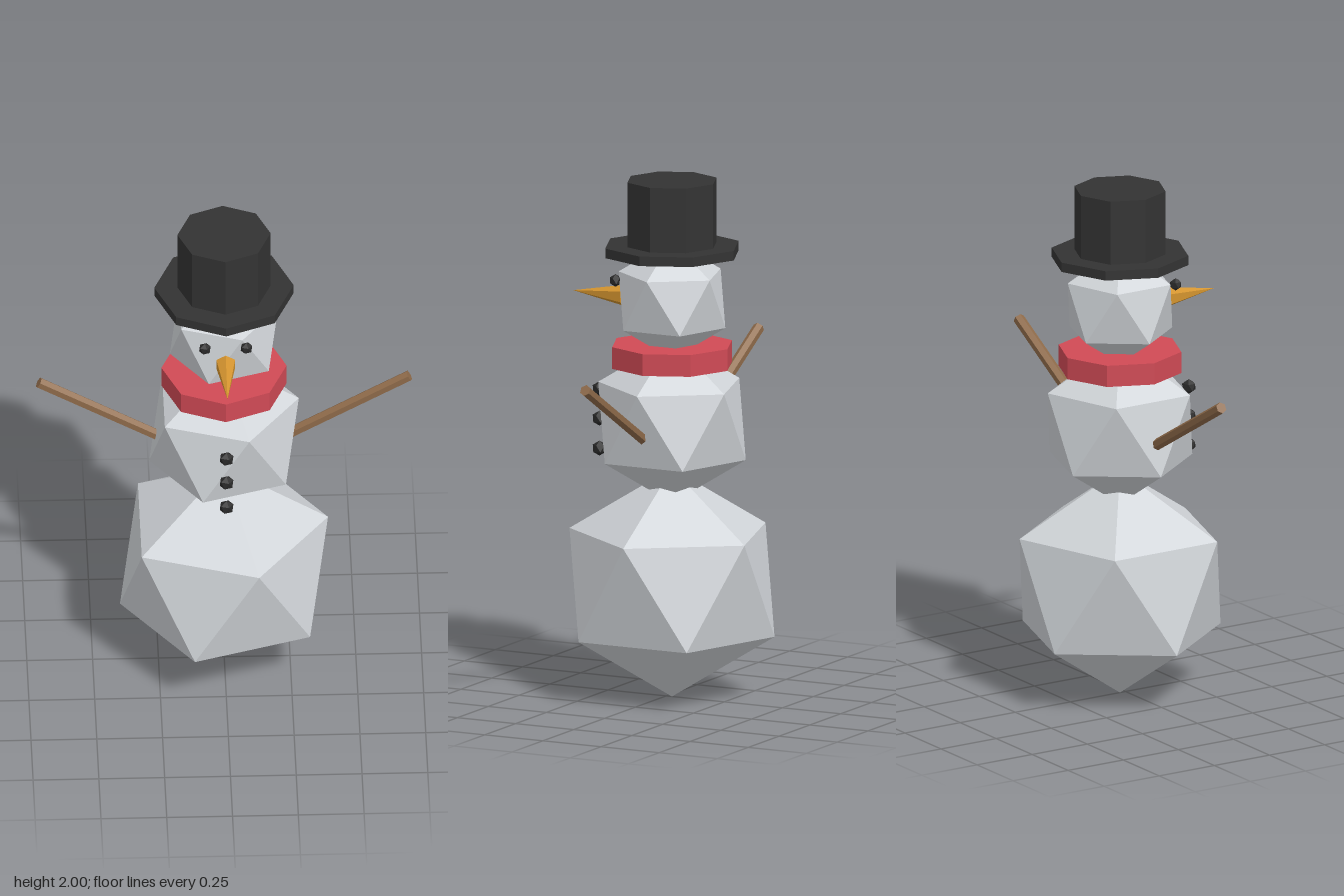
import * as THREE from 'three';

export function createModel() {
  const root = new THREE.Group();
  root.name = 'snowman';
  const Z = -0.025; // depth of the body axis

  const paint = (name, color) => {
    const m = new THREE.MeshStandardMaterial({ color });
    m.name = name;
    return m;
  };
  const snow = paint('snow', 0xd0d4d8);
  const felt = paint('blackFelt', 0x333333);
  const coal = paint('coal', 0x2a2a2a);
  const wool = paint('redWool', 0xd04a55);
  const carrot = paint('carrot', 0xd4942f);
  const wood = paint('wood', 0x8f6b4a);

  const add = (name, geometry, material, x, y, z) => {
    // faceted normals
    const g = geometry.index ? geometry.toNonIndexed() : geometry;
    g.computeVertexNormals();
    const mesh = new THREE.Mesh(g, material);
    mesh.name = name;
    mesh.position.set(x, y, z);
    root.add(mesh);
    return mesh;
  };

  // icosahedron standing on a corner, upper ring pointing to +x
  const ball = (r) => new THREE.IcosahedronGeometry(r, 0)
    .rotateX(-Math.atan((1 + Math.sqrt(5)) / 2))
    .rotateY(Math.PI / 2);

  // three snowballs
  add('lowerBody', ball(0.442), snow, 0, 0.443, Z);
  add('upperBody', ball(0.318), snow, 0, 1.068, Z);
  add('head', ball(0.23), snow, 0, 1.537, Z);

  // octagonal scarf and top hat
  const disc = (name, r, y0, y1, mat) =>
    add(name, new THREE.CylinderGeometry(r, r, y1 - y0, 8), mat, 0, (y0 + y1) / 2, Z);
  disc('scarf', 0.238, 1.283, 1.367, wool);
  disc('hatBrim', 0.265, 1.713, 1.75, felt);
  disc('hatCrown', 0.177, 1.75, 2, felt);

  // carrot nose, pointing forward
  add('nose', new THREE.ConeGeometry(0.041, 0.22, 6).rotateX(Math.PI / 2), carrot, 0, 1.535, 0.29);

  // buttons down the chest
  [1.164, 1.05, 0.934].forEach((y, i) => add('button' + (i + 1), ball(0.029), coal, 0, y, 0.287));

  // eyes and stick arms, mirrored
  const armLength = 0.54, tilt = Math.PI / 6;
  for (const [side, s] of [['left', 1], ['right', -1]]) {
    add(side + 'Eye', ball(0.0245), coal, 0.079 * s, 1.607, 0.176);
    const stick = new THREE.CylinderGeometry(0.022, 0.022, armLength, 6, 1, false, Math.PI / 6);
    const arm = add(side + 'Arm', stick, wood,
      s * (0.704 - Math.cos(tilt) * armLength / 2), 1.308 - Math.sin(tilt) * armLength / 2, Z);
    arm.rotation.z = -s * (Math.PI / 2 - tilt);
  }

  return root;
}
